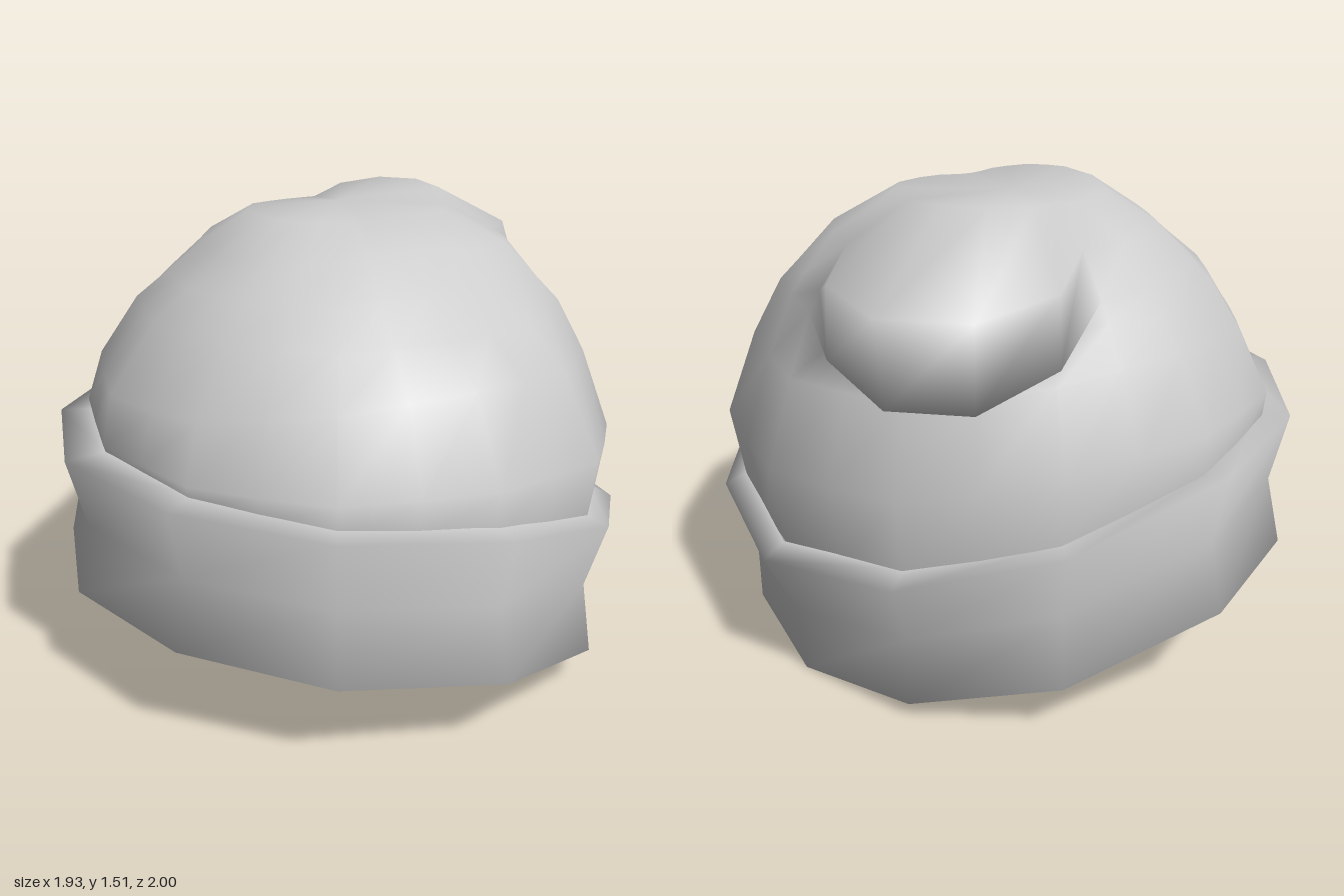
import * as THREE from 'three';

const material = new THREE.MeshStandardMaterial({ color: 0xcccccc, side: THREE.DoubleSide });

// Blend four side values [left +x, front +z, right -x, back -z] around the hat.
function around(values, angle, power) {
  const c = Math.cos(angle), s = Math.sin(angle);
  const w = Math.pow(Math.abs(c), power);
  return values[c > 0 ? 0 : 2] * w + values[s > 0 ? 1 : 3] * (1 - w);
}

// Skin a stack of rings; point(ring, angle, index) returns [x, y, z].
function skin(rings, sides, point, apex) {
  const positions = [], index = [];
  rings.forEach((ring, j) => {
    for (let i = 0; i < sides; i++) {
      positions.push(...point(ring, (i / sides) * Math.PI * 2, i));
      if (j === rings.length - 1) continue;
      const a = j * sides + i, b = j * sides + (i + 1) % sides;
      index.push(a, a + sides, b, b, a + sides, b + sides);
    }
  });
  if (apex) {
    const last = (rings.length - 1) * sides;
    positions.push(...apex);
    for (let i = 0; i < sides; i++) index.push(last + i, last + sides, last + (i + 1) % sides);
  }
  const geometry = new THREE.BufferGeometry();
  geometry.setAttribute('position', new THREE.Float32BufferAttribute(positions, 3));
  geometry.setIndex(index);
  geometry.computeVertexNormals();
  return geometry;
}

// Turned-up brim: inner wall down, round the bottom edge, up the outside, in to the crown.
function makeBrim() {
  const rings = [
    { r: [0.86, 0.90, 0.82, 0.89], y: [0.45, 0.70, 0.78, 0.74] },
    { r: [0.74, 0.84, 0.80, 0.84], y: [0.24, 0.48, 0.57, 0.54] },
    { r: [0.70, 0.86, 0.82, 0.85], y: [0.02, 0.25, 0.33, 0.32] },
    { r: [0.84, 1.00, 0.96, 1.00], y: [0.00, 0.26, 0.35, 0.33] },
    { r: [0.86, 0.945, 0.91, 0.95], y: [0.23, 0.49, 0.57, 0.55] },
    { r: [0.965, 1.00, 0.97, 1.00], y: [0.44, 0.72, 0.80, 0.78] },
    { r: [0.89, 0.92, 0.84, 0.90], y: [0.48, 0.73, 0.81, 0.75] },
  ];
  return skin(rings, 12, (ring, a) => {
    const r = around(ring.r, a, 2) * (1 - 0.025 * Math.sin(2 * a) ** 2);
    return [r * Math.cos(a), around(ring.y, a, 1.1), r * Math.sin(a)];
  });
}

// Crown: a lopsided dome whose peak flops over towards +x, -z.
// tip = [radius, height] the ring takes in the flop's direction.
function makeCrown() {
  const rings = [
    { r: [0.87, 0.91, 0.83, 0.90], y: [0.45, 0.70, 0.78, 0.73] },
    { r: [0.92, 0.925, 0.845, 0.91], y: [0.73, 0.84, 0.83, 0.88] },
    { r: [0.83, 0.79, 0.81, 0.79], y: [1.00, 1.10, 0.99, 1.10] },
    { r: [0.75, 0.65, 0.66, 0.72], y: [1.19, 1.20, 1.20, 1.20], tip: [0.74, 1.20] },
    { r: [0.71, 0.50, 0.54, 0.67], y: [1.25, 1.31, 1.29, 1.26], tip: [0.975, 1.04] },
    { r: [0.61, 0.35, 0.43, 0.55], y: [1.37, 1.42, 1.38, 1.38], tip: [1.02, 1.315] },
    { r: [0.39, 0.16, 0.28, 0.36], y: [1.49, 1.48, 1.49, 1.47], tip: [0.55, 1.515] },
  ];
  const tipAngle = THREE.MathUtils.degToRad(-37), spread = THREE.MathUtils.degToRad(35);
  return skin(rings, 24, (ring, a, i) => {
    let r = around(ring.r, a, 2), y = around(ring.y, a, 1.3);
    const d = Math.atan2(Math.sin(a - tipAngle), Math.cos(a - tipAngle)) / spread;
    const flop = Math.max(0, 1 - d * d);
    if (ring.tip) {
      r += (ring.tip[0] - r) * flop;
      y += (ring.tip[1] - y) * flop;
    }
    // every second column lies near the chord of the twelve-sided outline
    if (i % 2 && !(ring.tip && flop > 0)) r *= 0.972;
    return [r * Math.cos(a), y, r * Math.sin(a)];
  }, [0.08, 1.49, -0.15]);
}

export function createModel() {
  const hat = new THREE.Group();
  hat.name = 'knitHat';
  const parts = { brim: makeBrim(), crown: makeCrown() };
  for (const [name, geometry] of Object.entries(parts)) {
    const mesh = new THREE.Mesh(geometry, material);
    mesh.name = name;
    hat.add(mesh);
  }
  return hat;
}
